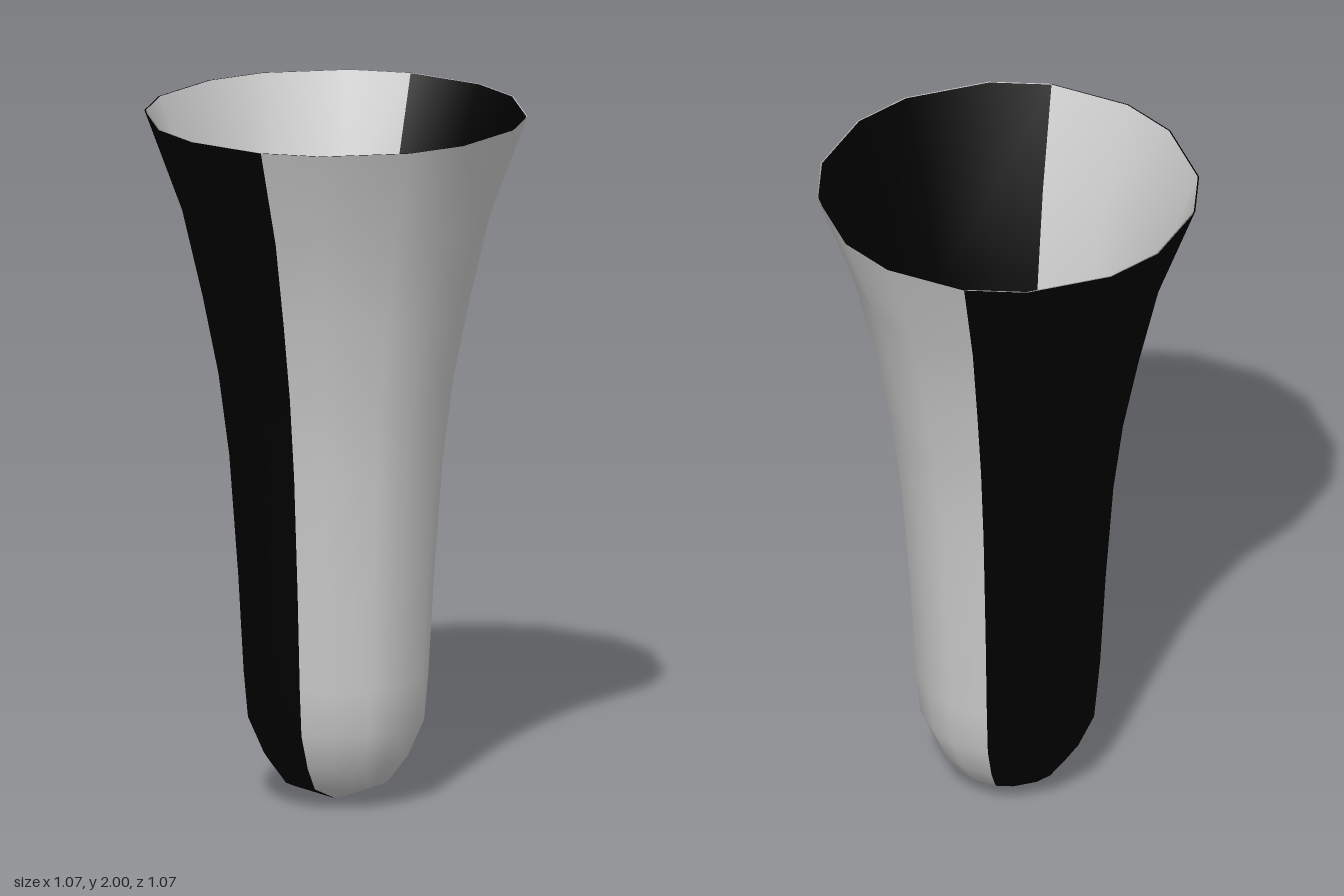
import * as THREE from 'three';

// Profile from the tip to the rim: [radius, height]
const PROFILE = [
  [0, 0], [0.15, 0.06], [0.2, 0.13], [0.245, 0.235], [0.257, 0.37], [0.272, 0.65],
  [0.297, 1.0], [0.327, 1.235], [0.371, 1.46], [0.428, 1.71], [0.533, 2],
];
// One quarter of the sixteen-sided cross-section, as [x, z]
const QUARTER = [[1, 0.227], [0.872, 0.537], [0.537, 0.872], [0.227, 1]];
// Gap between the outer wall and its lining
const GAP = 0.004;

function crossSection() {
  const points = [];
  let quarter = QUARTER;
  for (let q = 0; q < 4; q++) {
    points.push(...quarter);
    quarter = quarter.map(([x, z]) => [-z, x]);
  }
  return points;
}

// Half of a layer: eight sides from the given one; normals come from the full ring
function halfShell(first, lining) {
  const section = crossSection();
  const n = section.length;
  const positions = [];
  PROFILE.forEach(([radius, height], j) => {
    const r = lining ? Math.max(radius - GAP, 0) : radius;
    // The rounded bottom of the lining is lifted, its rim stays level
    const y = lining && j < 3 ? height + GAP : height;
    for (const [x, z] of section) positions.push(x * r, y, z * r);
  });
  const indices = (start, sides) => {
    const index = [];
    const face = (a, b, c) => index.push(...(lining ? [a, c, b] : [a, b, c]));
    for (let j = 0; j < PROFILE.length - 1; j++) {
      for (let s = start; s < start + sides; s++) {
        const a = j * n + (s % n);
        const b = j * n + ((s + 1) % n);
        face(a, a + n, b + n);
        if (j > 0) face(a, b + n, b);
      }
    }
    return index;
  };
  const geometry = new THREE.BufferGeometry();
  geometry.setAttribute('position', new THREE.Float32BufferAttribute(positions, 3));
  geometry.setIndex(indices(0, n));
  geometry.computeVertexNormals();
  // Smooth, rounded shading at the tip
  for (let i = 0; i < n; i++) geometry.attributes.normal.setXYZ(i, 0, lining ? 1 : -1, 0);
  geometry.setIndex(indices(first, n / 2));
  return geometry;
}

export function createModel() {
  const group = new THREE.Group();
  group.name = 'flaredCup';
  const grey = new THREE.MeshStandardMaterial({ color: 0xcccccc, side: THREE.DoubleSide });
  const black = new THREE.MeshStandardMaterial({ color: 0x000000, side: THREE.DoubleSide });

  // Two halves, each with an outer wall and a lining of the other colour
  const parts = [
    ['rightOuterWall', 3, false, black],
    ['rightLining', 3, true, grey],
    ['leftOuterWall', 11, false, grey],
    ['leftLining', 11, true, black],
  ];
  for (const [name, first, lining, material] of parts) {
    const mesh = new THREE.Mesh(halfShell(first, lining), material);
    mesh.name = name;
    group.add(mesh);
  }
  return group;
}
